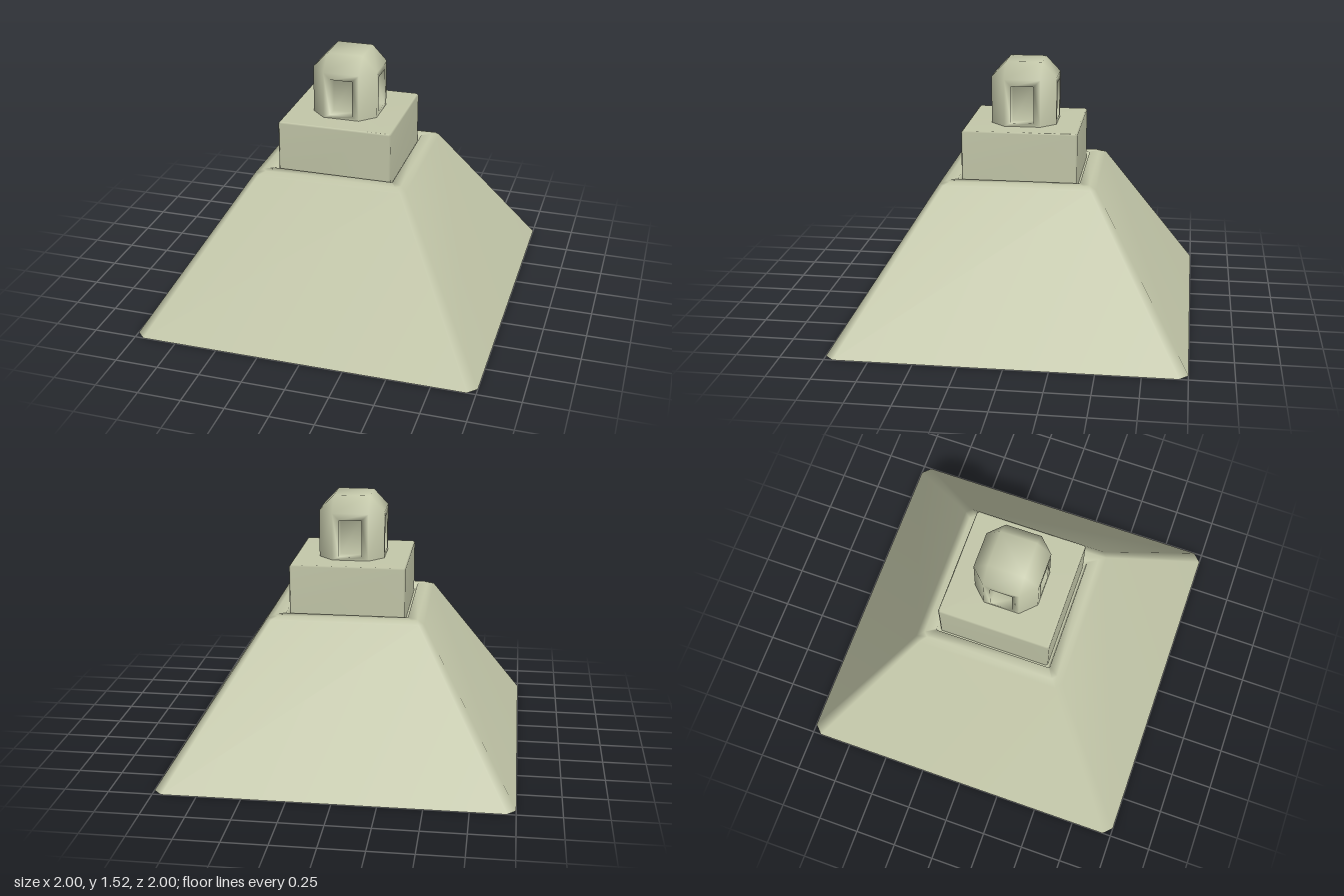
import * as THREE from 'three';
import { mergeVertices, mergeGeometries } from 'three/addons/utils/BufferGeometryUtils.js';

const material = new THREE.MeshStandardMaterial({ color: 0xc4c8aa });

// Triangles from convex polygons, corners counter-clockwise from outside.
function fromPolygons(polygons) {
  const pos = [];
  for (const p of polygons) {
    for (let i = 1; i < p.length - 1; i++) pos.push(...p[0], ...p[i], ...p[i + 1]);
  }
  const g = new THREE.BufferGeometry();
  g.setAttribute('position', new THREE.Float32BufferAttribute(pos, 3));
  return g;
}

// Quads joining successive closed loops, with the last loop capped.
function loft(loops) {
  const polygons = [];
  for (let k = 0; k < loops.length - 1; k++) {
    const a = loops[k], b = loops[k + 1], n = a.length;
    for (let i = 0; i < n; i++) {
      const j = (i + 1) % n;
      polygons.push([a[i], a[j], b[j], b[i]]);
    }
  }
  polygons.push(loops[loops.length - 1]);
  return polygons;
}

// Square cross-section with cut corners.
function ring(half, cut, y) {
  const m = half - cut;
  return [[half, y, m], [half, y, -m], [m, y, -half], [-m, y, -half],
    [-half, y, -m], [-half, y, m], [-m, y, half], [m, y, half]];
}

function smooth(geometry) {
  const g = mergeVertices(geometry, 1e-4);
  g.computeVertexNormals();
  return g;
}

function part(name, geometry) {
  const mesh = new THREE.Mesh(geometry, material);
  mesh.name = name;
  return mesh;
}

// Sloped base with a shallow socket in its top.
function baseGeometry() {
  return smooth(fromPolygons(loft([
    ring(1, 0.05, 0), ring(0.45, 0.03, 0.86), ring(0.41, 0.025, 0.875),
    ring(0.352, 0.008, 0.875), ring(0.348, 0.008, 0.84),
  ])));
}

// Bevelled block standing in the socket.
function blockGeometry() {
  return smooth(fromPolygons(loft([
    ring(0.333, 0.01, 0.84), ring(0.333, 0.01, 1.147), ring(0.325, 0.006, 1.155),
  ])));
}

// Bevelled head with a niche on each of its four sides.
function headGeometry() {
  const h = 0.19, w = 0.105, y0 = 1.155, y1 = 1.43, top = 1.52;
  const rect = (x, a, b, z) => [[-x, a, z], [x, a, z], [x, b, z], [-x, b, z]];
  const side = fromPolygons([
    // wall, niche sides and niche back
    ...loft([rect(w, y0, y1, h), rect(0.065, 1.175, 1.39, h), rect(0.063, 1.177, 1.388, 0.12)]),
    // vertical bevel, upper bevel and corner
    [[w, y0, h], [h, y0, w], [h, y1, w], [w, y1, h]],
    [[-w, y1, h], [w, y1, h], [w, top, w], [-w, top, w]],
    [[w, y1, h], [h, y1, w], [w, top, w]],
  ]);
  const pieces = [0, 1, 2, 3].map((k) => side.clone().rotateY(k * Math.PI / 2));
  pieces.push(fromPolygons([[[-w, top, w], [w, top, w], [w, top, -w], [-w, top, -w]]]));
  return smooth(mergeGeometries(pieces));
}

export function createModel() {
  const group = new THREE.Group();
  group.name = 'pedestal';
  group.add(part('slopedBase', baseGeometry()));
  // Flat underside
  const underside = fromPolygons([ring(1, 0.05, 0).reverse()]);
  underside.computeVertexNormals();
  group.add(part('underside', underside));
  group.add(part('block', blockGeometry()));
  group.add(part('nichedHead', headGeometry()));
  return group;
}
